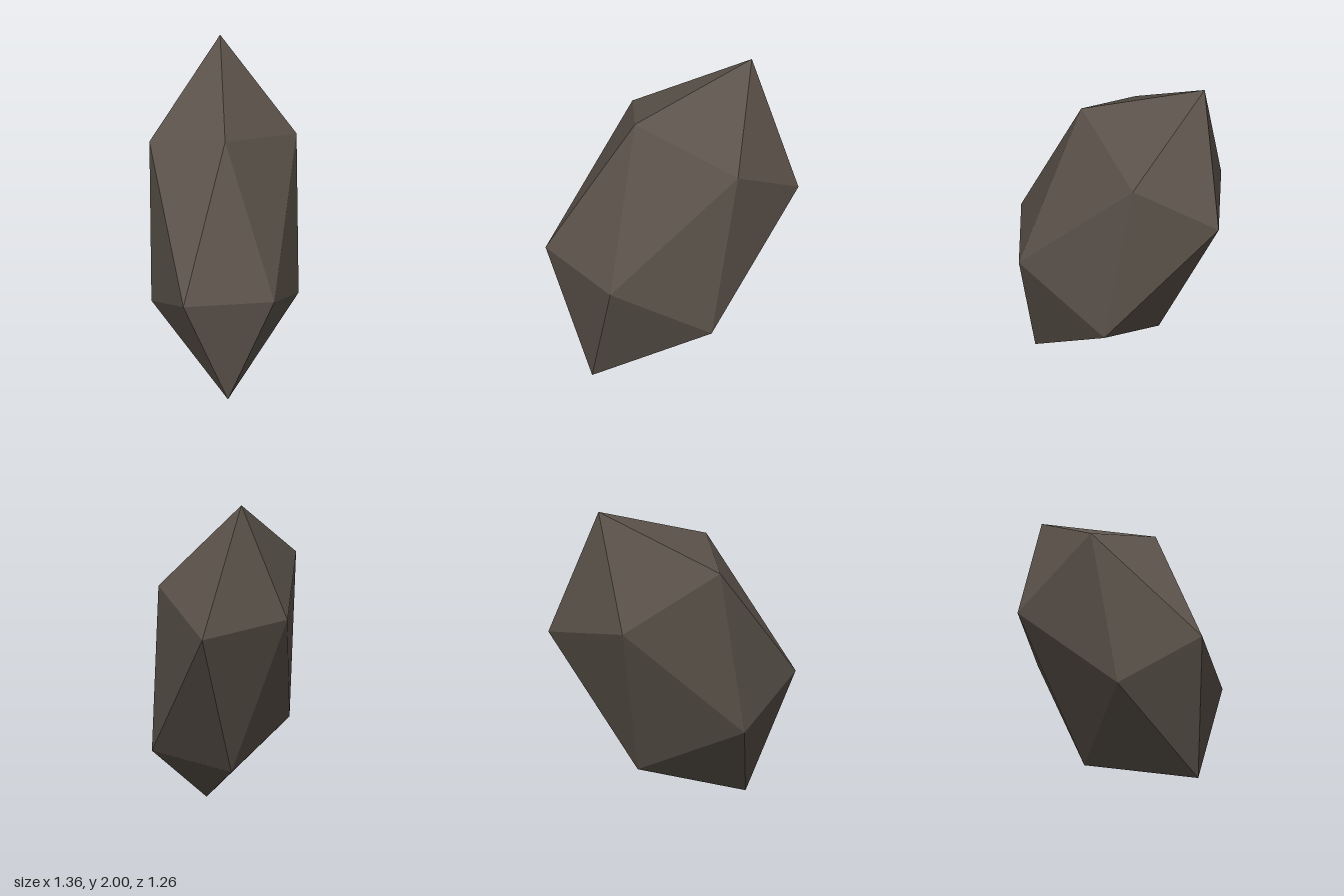
import * as THREE from 'three';
import { ConvexGeometry } from 'three/addons/geometries/ConvexGeometry.js';

export function createModel() {
  const group = new THREE.Group();
  group.name = 'rock';
  const stone = new THREE.MeshStandardMaterial({ color: 0x5c534b });
  stone.name = 'dark stone';

  // Tip and upper ring of a tilted, stretched icosahedron, relative to its centre
  const upper = [
    [0.34, 1, -0.44],
    [-0.4, 0.61, -0.25],
    [-0.16, 0.73, 0.2],
    [0.51, 0.46, 0.1],
    [0.68, 0.18, -0.41],
    [0.12, 0.27, -0.63],
  ].map((p) => new THREE.Vector3(...p));

  // The lower half is the upper half reflected through the centre
  const corners = [...upper, ...upper.map((p) => p.clone().negate())];

  const boulder = new THREE.Mesh(new ConvexGeometry(corners), stone);
  boulder.name = 'boulder';
  boulder.position.y = 1;
  group.add(boulder);
  return group;
}
